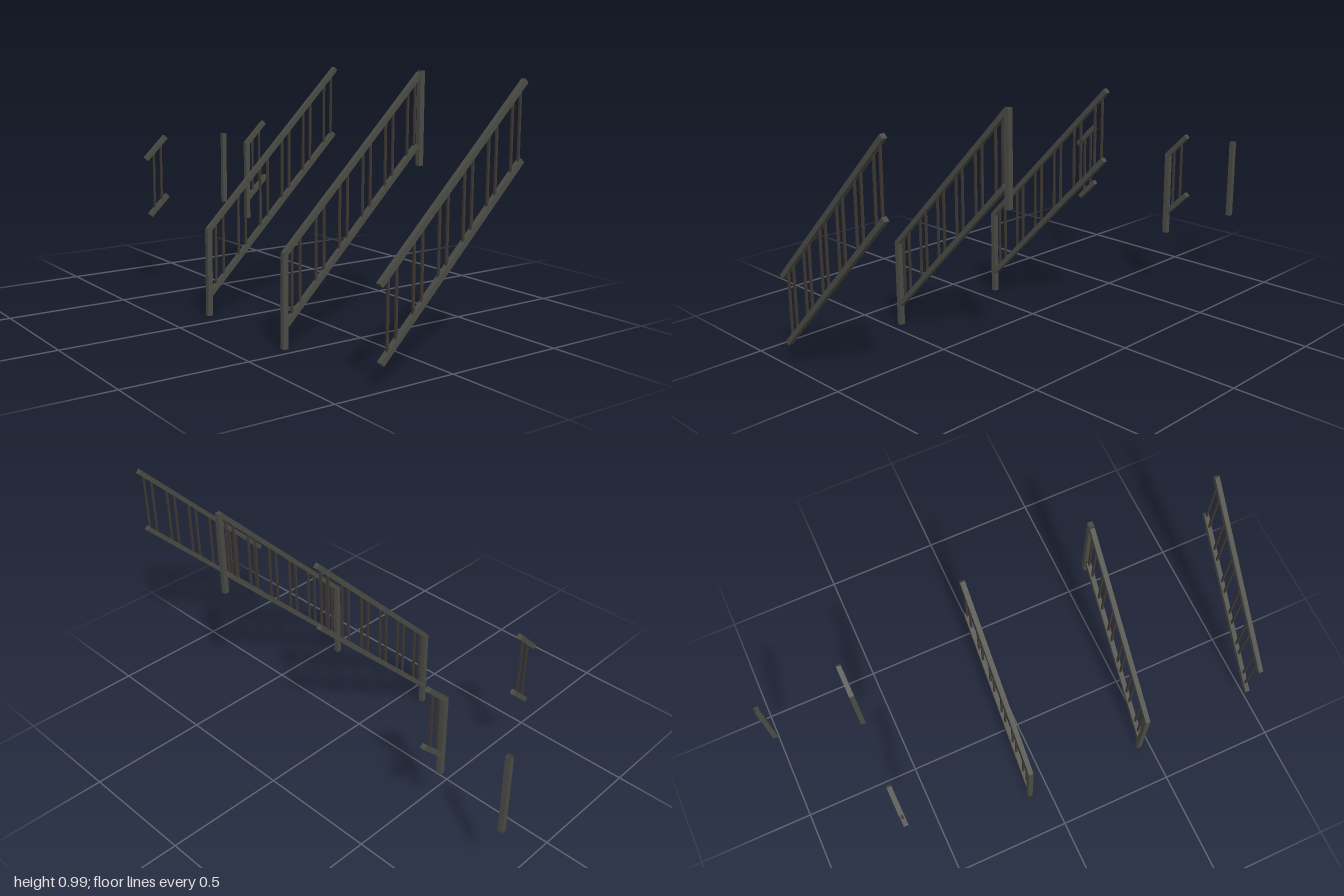
import * as THREE from 'three';

const T = 0.02; // rail and post thickness

export function createModel() {
  const model = new THREE.Group();
  model.name = 'stairRailingKit';
  const railGrey = new THREE.MeshStandardMaterial({ color: 0x4b4b45, side: THREE.DoubleSide });
  railGrey.name = 'railGrey';
  const balusterBrown = new THREE.MeshStandardMaterial({ color: 0x3f3831 });
  balusterBrown.name = 'balusterBrown';

  const add = (parent, name, geometry, material, x, y) => {
    const mesh = new THREE.Mesh(geometry, material);
    mesh.name = name;
    mesh.position.set(x, y, 0);
    parent.add(mesh);
    return mesh;
  };

  // sloping bar between two points, cut square at its ends
  const addRail = (parent, name, [x0, y0, x1, y1]) => {
    const length = Math.hypot(x1 - x0, y1 - y0);
    const rail = add(parent, name, new THREE.BoxGeometry(length, T, T), railGrey, (x0 + x1) / 2, (y0 + y1) / 2);
    rail.rotation.z = Math.atan2(y1 - y0, x1 - x0);
  };

  const addPost = (parent, x, y0, y1) =>
    add(parent, 'post', new THREE.BoxGeometry(0.021, y1 - y0, 0.021), railGrey, x, (y0 + y1) / 2);

  const heightAt = ([x0, y0, x1, y1], x) => y0 + ((x - x0) * (y1 - y0)) / (x1 - x0);

  // two rails, the balusters between them, and any posts
  const addPanel = (name, z, top, bottom, balusters, posts) => {
    const panel = new THREE.Group();
    panel.name = name;
    panel.position.z = z;
    addRail(panel, 'topRail', top);
    addRail(panel, 'bottomRail', bottom);
    for (const x of balusters) {
      const y0 = heightAt(bottom, x), y1 = heightAt(top, x);
      add(panel, 'baluster', new THREE.BoxGeometry(0.008, y1 - y0, 0.008), balusterBrown, x, (y0 + y1) / 2);
    }
    for (const p of posts) addPost(panel, ...p);
    model.add(panel);
  };

  // balusters stand in pairs, one pair per two steps
  const pairs = [];
  for (let i = 0; i < 6; i++) {
    const x = -0.283 + i * 0.1073;
    pairs.push(x, x + 0.0355);
  }

  // long flights: without posts, with two posts, with the bottom post
  const top = [-0.318, 0.352, 0.309, 0.979];
  const bottom = [-0.31, 0.09, 0.302, 0.706];
  const lowPost = [-0.316, 0, 0.355];
  const highPost = [0.3175, 0.625, 0.992];
  addPanel('middleFlight', 0.99, top, bottom, pairs, []);
  addPanel('fullFlight', 0.452, top, bottom, pairs, [lowPost, highPost]);
  addPanel('lowerFlight', -0.086, top, bottom, pairs, [lowPost]);

  // short single-step sections
  addPanel('shortSection', -0.634, [-0.312, 0.578, -0.215, 0.672], [-0.296, 0.326, -0.209, 0.41],
    [-0.273, -0.238], []);
  addPanel('shortSectionWithPost', -0.63, [0.203, 0.609, 0.304, 0.709], [0.21, 0.352, 0.315, 0.455],
    [0.241, 0.278], [[0.21, 0.262, 0.617]]);

  // loose post, a square tube with open ends
  const tube = new THREE.CylinderGeometry(0.021 / Math.SQRT2, 0.021 / Math.SQRT2, 0.345, 4, 1, true)
    .rotateY(Math.PI / 4).toNonIndexed();
  tube.computeVertexNormals();
  add(model, 'loosePost', tube, railGrey, 0.3, 0.4525).position.z = -0.9895;

  return model;
}
